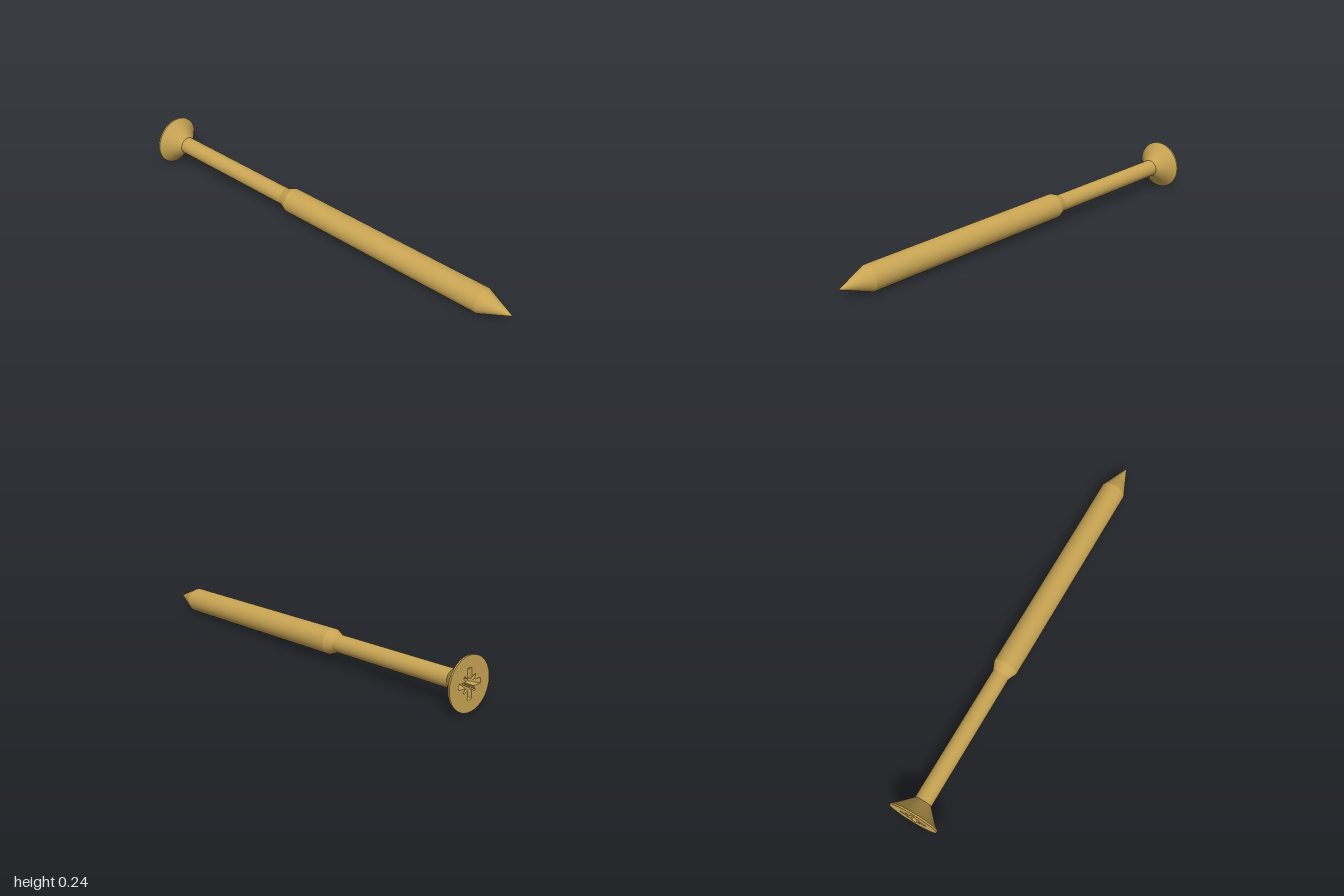
import * as THREE from 'three';

const brass = new THREE.MeshStandardMaterial({ color: 0xc8a453 });
brass.name = 'brass';

const HEAD_R = 0.119, SHANK_R = 0.0415, BODY_R = 0.06;

// Surface of revolution from [radius, distance from head face] points
function turned(name, ...profile) {
  const points = profile.map(([r, y]) => new THREE.Vector2(r, y));
  const mesh = new THREE.Mesh(new THREE.LatheGeometry(points, 64), brass);
  mesh.name = name;
  return mesh;
}

// Cross outline with a small pointed notch between neighbouring arms
function crossOutline(scale) {
  const quarter = [[0.066, -0.012], [0.066, 0.012], [0.024, 0.013], [0.036, 0.031], [0.031, 0.036], [0.013, 0.024]];
  const points = [];
  for (let i = 0; i < 4; i++) {
    for (const [x, y] of quarter) {
      points.push(new THREE.Vector2(x * scale, y * scale).rotateAround(new THREE.Vector2(), i * Math.PI / 2));
    }
  }
  return points;
}

// Flat head face with a tapered drive recess
function makeHeadFace() {
  const group = new THREE.Group();
  group.name = 'headFace';
  const depth = 0.045, top = crossOutline(1), bottom = crossOutline(0.6);

  const disc = new THREE.Shape().absarc(0, 0, HEAD_R, 0, Math.PI * 2);
  disc.holes.push(new THREE.Path(top));
  const face = new THREE.Mesh(new THREE.ShapeGeometry(disc, 64), brass);
  face.name = 'headDisc';

  const positions = [];
  top.forEach((p, i) => {
    const j = (i + 1) % top.length, q = top[j], a = bottom[i], b = bottom[j];
    positions.push(p.x, p.y, 0, q.x, q.y, 0, a.x, a.y, -depth);
    positions.push(q.x, q.y, 0, b.x, b.y, -depth, a.x, a.y, -depth);
  });
  const wallGeometry = new THREE.BufferGeometry();
  wallGeometry.setAttribute('position', new THREE.Float32BufferAttribute(positions, 3));
  wallGeometry.computeVertexNormals();
  const walls = new THREE.Mesh(wallGeometry, brass);
  walls.name = 'recessWalls';

  const floor = new THREE.Mesh(new THREE.ShapeGeometry(new THREE.Shape(bottom)), brass);
  floor.name = 'recessFloor';
  floor.position.z = -depth;

  group.add(face, walls, floor);
  group.rotation.x = Math.PI / 2;
  return group;
}

export function createModel() {
  const model = new THREE.Group();
  model.name = 'screw';

  // Resting pose: the axis runs from the head face to the point
  const start = new THREE.Vector3(-0.975, 0.122, -0.165);
  const end = new THREE.Vector3(0.993, 0.058, 0.252);
  const length = start.distanceTo(end);
  const axis = end.clone().sub(start).normalize();
  const side = new THREE.Vector3().crossVectors(axis, new THREE.Vector3(0, 1, 0)).normalize();
  const up = new THREE.Vector3().crossVectors(side, axis);

  const screw = new THREE.Group();
  screw.name = 'screwParts';
  screw.quaternion.setFromRotationMatrix(new THREE.Matrix4().makeBasis(side, axis, up));
  screw.position.copy(start);
  screw.add(
    makeHeadFace(),
    turned('headRim', [HEAD_R, 0], [HEAD_R, 0.008]),
    turned('headCone', [HEAD_R, 0.008], [0.096, 0.028], [0.068, 0.056], [SHANK_R, 0.084]),
    turned('shank', [SHANK_R, 0.084], [SHANK_R, 0.757]),
    turned('shoulder', [SHANK_R, 0.757], [BODY_R, 0.8]),
    turned('body', [BODY_R, 0.8], [BODY_R, 1.865]),
    turned('point', [BODY_R, 1.865], [0, length]),
  );
  model.add(screw);
  return model;
}
